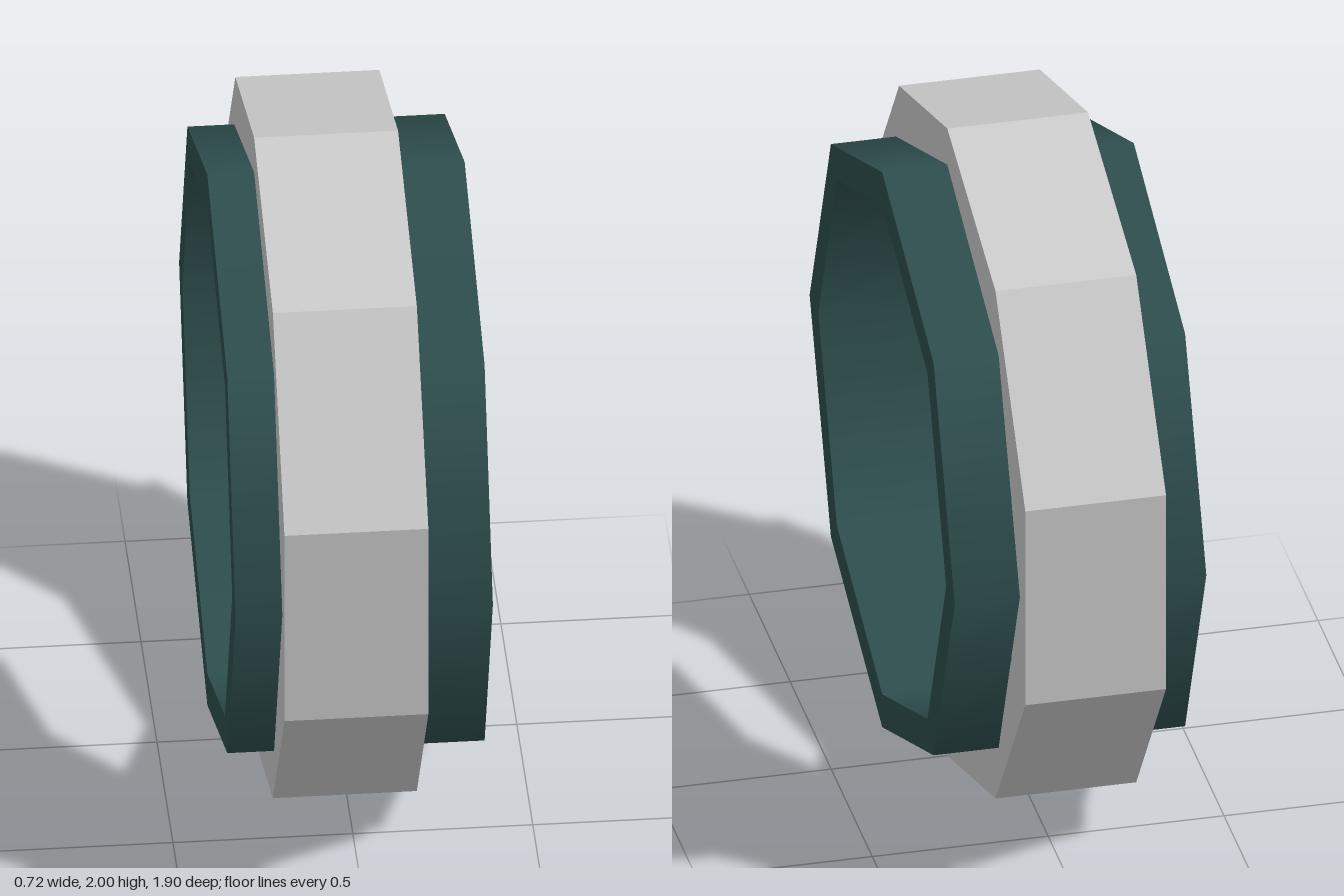
import * as THREE from 'three';
import { mergeGeometries } from 'three/addons/utils/BufferGeometryUtils.js';

// Hollow ring around the x axis with a rectangular section.
// Each wall is its own lathe, so rims stay crisp while walls can be smooth.
function ringGeometry(inner, outer, x0, x1, sides) {
  const profile = [[outer, x0], [outer, x1], [inner, x1], [inner, x0]]
    .map(([r, x]) => new THREE.Vector2(r, x));
  const walls = profile.map((p, i) =>
    new THREE.LatheGeometry([p, profile[(i + 1) % 4]], sides, Math.PI / 2));
  return mergeGeometries(walls).rotateZ(-Math.PI / 2);
}

export function createModel() {
  const group = new THREE.Group();
  group.name = 'ring';

  const add = (name, geometry, material) => {
    const mesh = new THREE.Mesh(geometry, material);
    mesh.name = name;
    mesh.position.y = 1;
    group.add(mesh);
  };

  // Dark eight-sided sleeve, smooth around its walls
  add('innerSleeve', ringGeometry(0.78, 0.885, -0.36, 0.355, 8),
    new THREE.MeshStandardMaterial({ color: 0x2f4f4f }));

  // Faceted ten-sided band; its bore lies hidden within the sleeve wall
  add('outerBand', ringGeometry(0.825, 1, -0.23, 0.17, 10),
    new THREE.MeshStandardMaterial({ color: 0xcccccc, flatShading: true }));

  return group;
}
